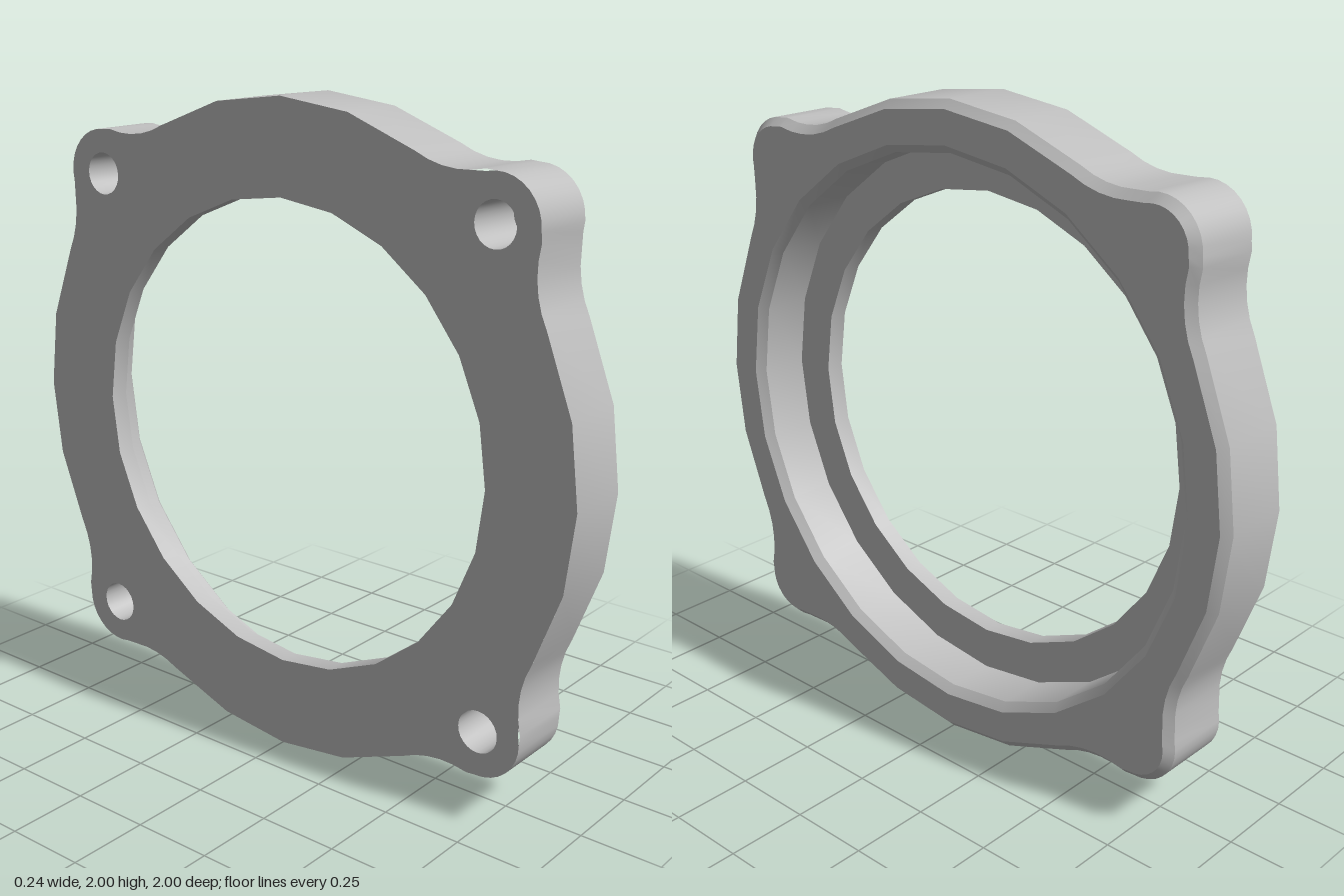
import * as THREE from 'three';

const BACK = -0.12, FRONT = 0.12, SEAT = -0.06, BEVEL = 0.025;
const HOLE_R = 0.717, RECESS_R = 0.85, BOLT_R = 0.065, BOLT_POS = 0.72, BOLT_END = 0.07;

// points along an arc, angles in degrees
function arc(cx, cy, r, from, to, n) {
  return Array.from({ length: n + 1 }, (_, i) => {
    const a = THREE.MathUtils.degToRad(from + (to - from) * i / n);
    return new THREE.Vector2(cx + r * Math.cos(a), cy + r * Math.sin(a));
  });
}
const circle = (r, n, cx = 0, cy = 0) => arc(cx, cy, r, 0, 360, n).slice(0, n);

// outer contour: round body with four corner ears blended by concave fillets
function outline(inset) {
  const fillet = 0.315 + inset;
  const quarter = [
    ...arc(0, 0, 1 - inset, 0, 27.6, 2),
    ...arc(1.165, 0.61, fillet, 207.6, 166, 5).slice(1),
    ...arc(BOLT_POS, BOLT_POS, 0.137 - inset, -14, 104, 10).slice(1),
    ...arc(0.61, 1.165, fillet, -76, -117.6, 5).slice(1),
    ...arc(0, 0, 1 - inset, 62.4, 76.2, 1).slice(1),
  ];
  const pts = [];
  for (let q = 0; q < 4; q++) {
    for (const p of quarter) pts.push(p.clone().rotateAround(new THREE.Vector2(), q * Math.PI / 2));
  }
  return pts;
}

// smooth wall between two matching rings; rising z faces outward, falling z inward
function wall(ringA, zA, ringB, zB) {
  const n = ringA.length, pos = [], idx = [];
  ringA.forEach(p => pos.push(p.x, p.y, zA));
  ringB.forEach(p => pos.push(p.x, p.y, zB));
  for (let i = 0; i < n; i++) {
    const j = (i + 1) % n;
    idx.push(i, j, n + j, i, n + j, n + i);
  }
  const g = new THREE.BufferGeometry();
  g.setAttribute('position', new THREE.Float32BufferAttribute(pos, 3));
  g.setIndex(idx);
  g.computeVertexNormals();
  return g;
}

// flat face with openings, facing the front or the back
function face(ring, holes, z, backward = false) {
  const s = new THREE.Shape(ring);
  s.holes = holes.map(h => new THREE.Path(h));
  const g = new THREE.ShapeGeometry(s);
  if (backward) g.rotateY(Math.PI);
  return g.translate(0, 0, z);
}

export function createModel() {
  const metal = new THREE.MeshStandardMaterial({ color: 0xbfbfbf });
  metal.name = 'grey metal';
  const flange = new THREE.Group();
  flange.name = 'flange';
  const add = (name, geometry) => {
    const m = new THREE.Mesh(geometry, metal);
    m.name = name;
    flange.add(m);
  };

  const outer = outline(0), outerTop = outline(BEVEL);
  const bore = circle(HOLE_R, 24), recess = circle(RECESS_R, 24), lip = circle(RECESS_R + BEVEL, 24);
  const bolts = [];
  for (const x of [-1, 1]) for (const y of [-1, 1]) bolts.push(circle(BOLT_R, 24, x * BOLT_POS, y * BOLT_POS));

  // outside
  add('outerWall', wall(outer, BACK, outer, FRONT - BEVEL));
  add('outerBevel', wall(outer, FRONT - BEVEL, outerTop, FRONT));
  add('frontFace', face(outerTop, [lip], FRONT));
  add('backFace', face(outer, [bore, ...bolts], BACK, true));

  // stepped opening
  add('recessBevel', wall(lip, FRONT, recess, FRONT - BEVEL));
  add('recessWall', wall(recess, FRONT - BEVEL, recess, SEAT));
  add('seat', face(recess, [bore], SEAT));
  add('boreWall', wall(bore, SEAT, bore, BACK));

  // blind bolt holes in the back
  for (const b of bolts) {
    add('boltHoleWall', wall(b, BOLT_END, b, BACK));
    add('boltHoleEnd', face(b, [], BOLT_END, true));
  }

  // opening looks along +x, standing on the ground
  flange.rotation.y = Math.PI / 2;
  flange.position.y = 1;
  const model = new THREE.Group();
  model.name = 'bearingFlange';
  model.add(flange);
  return model;
}
